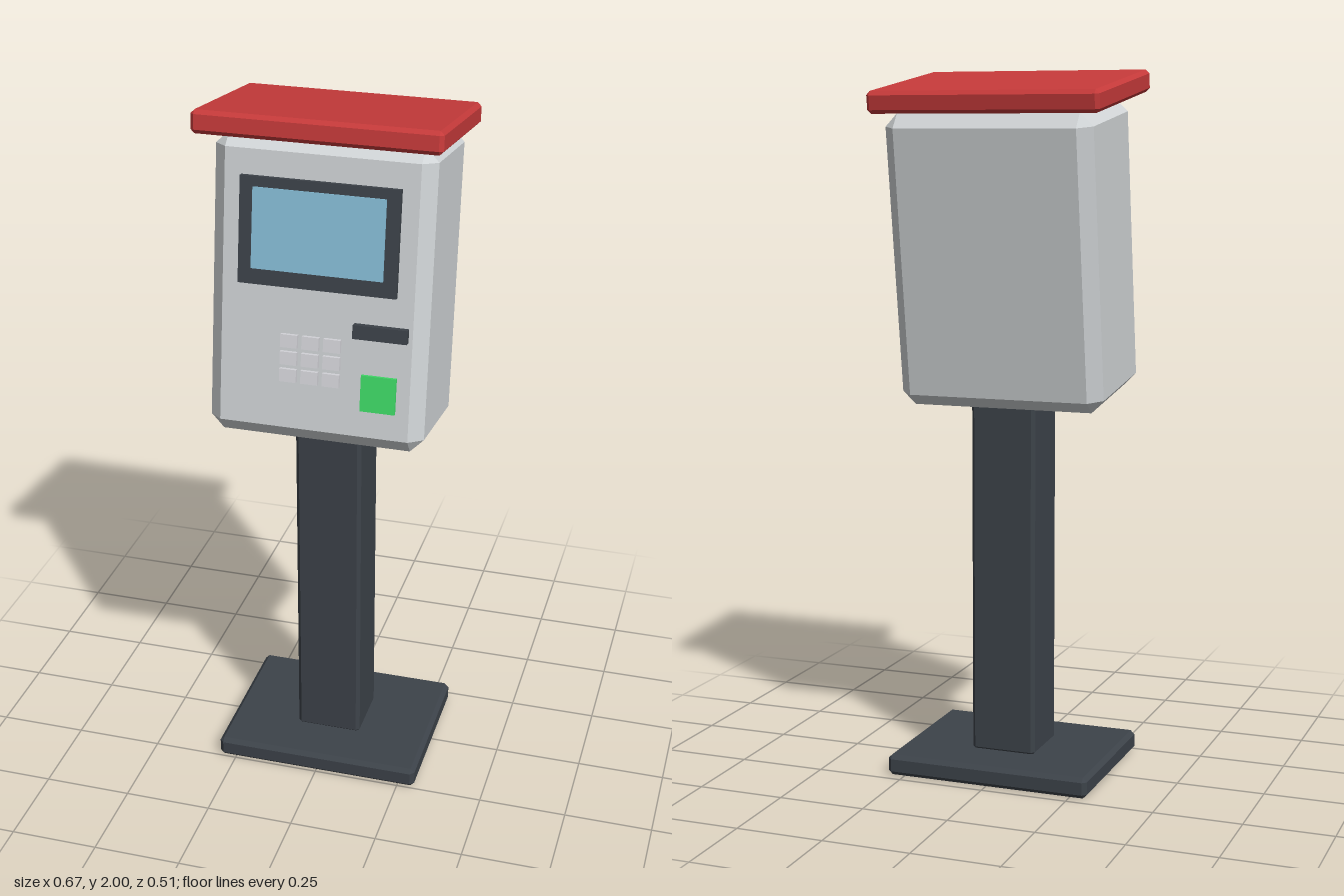
import * as THREE from 'three';
import { ConvexGeometry } from 'three/addons/geometries/ConvexGeometry.js';

// Box with every edge cut by a flat chamfer c
function chamferBox(w, h, d, c) {
  const points = [];
  for (const sx of [-1, 1]) for (const sy of [-1, 1]) for (const sz of [-1, 1]) {
    for (let axis = 0; axis < 3; axis++) {
      const inset = [0, 1, 2].map((a) => (a === axis ? 0 : c));
      points.push(new THREE.Vector3(
        sx * (w / 2 - inset[0]), sy * (h / 2 - inset[1]), sz * (d / 2 - inset[2])));
    }
  }
  return new ConvexGeometry(points);
}

function material(name, color) {
  const m = new THREE.MeshStandardMaterial({ color });
  m.name = name;
  return m;
}

function add(parent, name, geometry, mat, x, y, z) {
  const mesh = new THREE.Mesh(geometry, mat);
  mesh.name = name;
  mesh.position.set(x, y, z);
  parent.add(mesh);
  return mesh;
}

export function createModel() {
  const charcoal = material('charcoal', 0x3d434a);
  const grey = material('light grey', 0xd0d4d6);
  const red = material('roof red', 0xc63a3a);
  const blue = material('screen blue', 0x87bfd9);
  const green = material('reader green', 0x3fdc68);
  const keyGrey = material('key grey', 0xd8d8dd);

  const model = new THREE.Group();
  model.name = 'kiosk';
  const midZ = 0.0125;

  // Stand
  add(model, 'base', chamferBox(0.6, 0.06, 0.475, 0.012), charcoal, 0, 0.03, midZ);
  add(model, 'post', chamferBox(0.19, 1.06, 0.186, 0.01), charcoal, 0, 0.585, midZ);

  // Head, leaning back
  const head = new THREE.Group();
  head.name = 'head';
  head.position.set(0, 1.49, midZ);
  head.rotation.x = -THREE.MathUtils.degToRad(8);
  model.add(head);
  const face = 0.19;

  add(head, 'housing', chamferBox(0.6, 0.825, 2 * face, 0.037), grey, 0, 0, 0);
  add(head, 'roof', chamferBox(0.666, 0.062, 0.477, 0.011), red, 0, 0.447, 0.035);

  // Screen
  add(head, 'screenFrame', new THREE.BoxGeometry(0.433, 0.288, 0.03), charcoal, 0, 0.163, face);
  add(head, 'screen', new THREE.BoxGeometry(0.36, 0.218, 0.008), blue, 0, 0.171, face + 0.015);

  // Card slot and contactless reader
  add(head, 'cardSlot', new THREE.BoxGeometry(0.148, 0.038, 0.04), charcoal, 0.178, -0.08, face);
  add(head, 'reader', new THREE.BoxGeometry(0.096, 0.1, 0.02), green, 0.178, -0.25, face);

  // Keypad
  const keypad = new THREE.Group();
  keypad.name = 'keypad';
  head.add(keypad);
  const keyGeometry = new THREE.BoxGeometry(0.047, 0.036, 0.024);
  for (let row = 0; row < 3; row++) {
    for (let col = 0; col < 3; col++) {
      add(keypad, 'key', keyGeometry, keyGrey, -0.072 + col * 0.0595, -0.129 - row * 0.048, face);
    }
  }
  return model;
}
